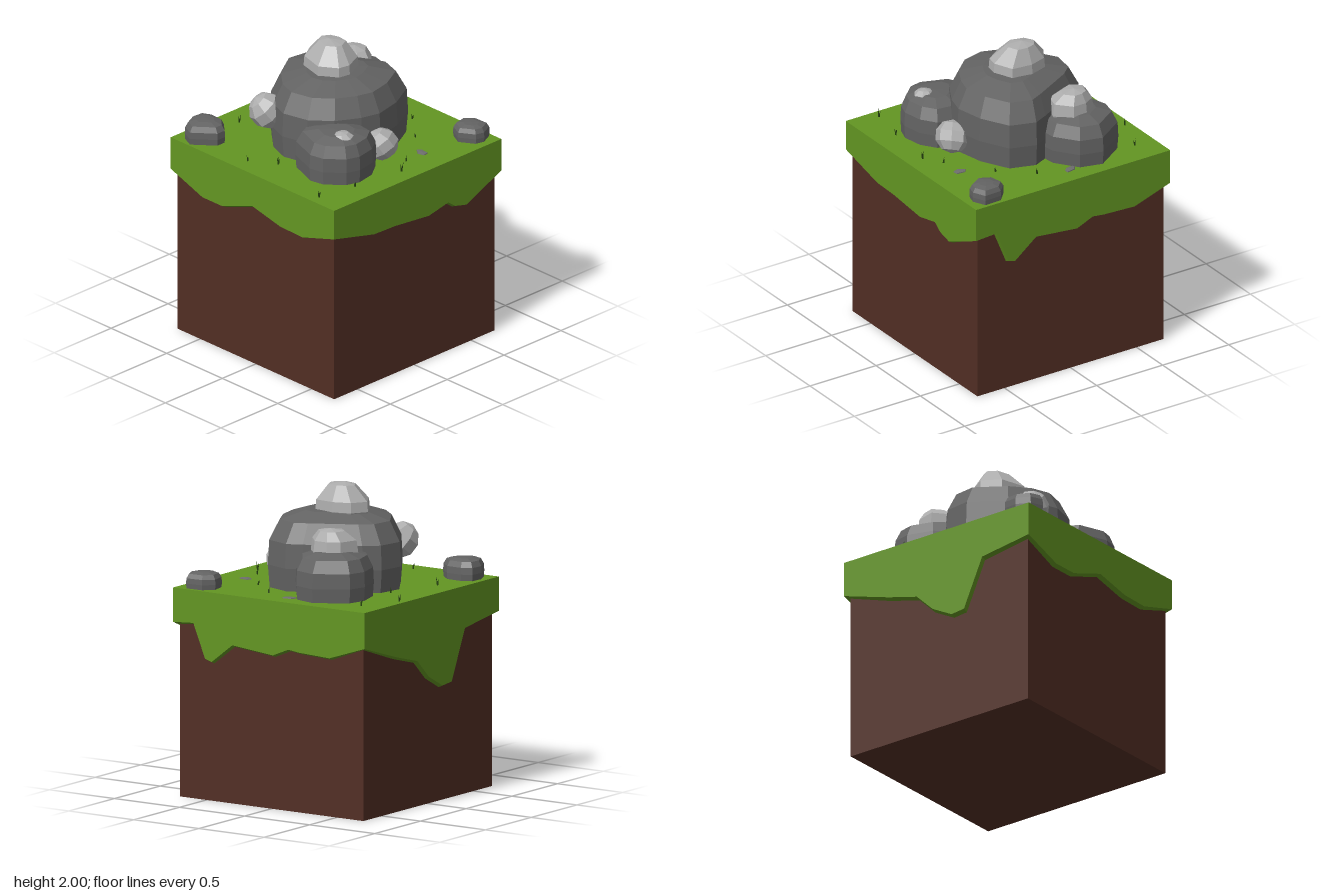
import * as THREE from 'three';

const mat = (name, color) => new THREE.MeshStandardMaterial({ name, color });
const GROUND = 1.34, OUT = 0.735, IN = 0.705;

// Separate triangles with their own normals give hard facets
function faceted(positions) {
  const g = new THREE.BufferGeometry();
  g.setAttribute('position', new THREE.Float32BufferAttribute(positions, 3));
  g.computeVertexNormals();
  return g;
}

// Stone lofted from a plan outline [x, z]; rings are [scale, y, shiftX, shiftZ]
function stoneGeometry(outline, rings) {
  const n = outline.length;
  const cx = outline.reduce((s, p) => s + p[0], 0) / n;
  const cz = outline.reduce((s, p) => s + p[1], 0) / n;
  const plan = outline.map(([x, z]) => [x - cx, z - cz])
    .sort((a, b) => Math.atan2(a[1], a[0]) - Math.atan2(b[1], b[0]));
  const at = ([s, y, dx = 0, dz = 0], i) => {
    const [x, z] = plan[i % n];
    return [cx + x * s + dx, y, cz + z * s + dz];
  };
  const pos = [];
  for (let r = 0; r < rings.length - 1; r++) {
    for (let i = 0; i < n; i++) {
      const a = at(rings[r], i), b = at(rings[r], i + 1);
      const c = at(rings[r + 1], i), d = at(rings[r + 1], i + 1);
      if (rings[r][0] > 0) pos.push(...a, ...c, ...b);
      if (rings[r + 1][0] > 0) pos.push(...b, ...c, ...d);
    }
  }
  return faceted(pos);
}

// Boulder standing on the ground: steep sides, rounded shoulder, flat crown
const boulderRings = (top, foot = 0.97) => {
  const h = top - GROUND;
  return [[foot, GROUND - 0.01], [1, GROUND + h * 0.3], [0.98, GROUND + h * 0.62],
    [0.83, GROUND + h * 0.88], [0.45, GROUND + h * 0.98], [0, top]];
};

// Ragged turf edge: [along, y] for front, right, back and left
const edges = [
  [[-OUT, 1.12], [-0.45, 1.02], [-0.27, 1.02], [0, 1.115], [0.25, 1.06], [0.45, 1.055], [OUT, 1.14]],
  [[-OUT, 1.14], [-0.38, 1.055], [-0.2, 1.05], [0.1, 1.02], [0.27, 1.055], [0.33, 1.01], [0.43, 0.985], [OUT, 1.12]],
  [[-OUT, 1.12], [-0.58, 1.13], [-0.49, 0.91], [-0.44, 0.895], [-0.28, 1.02], [0.03, 0.99], [0.15, 1.04],
    [0.23, 1.03], [0.465, 1.02], [OUT, 1.11]],
  [[-OUT, 1.11], [-0.38, 1.0], [-0.155, 0.94], [-0.03, 0.82], [0.12, 0.74], [0.22, 0.75], [0.365, 1.07], [OUT, 1.12]],
];

function turfEdge(profile) {
  const pos = [];
  const inner = ([u, y]) => [THREE.MathUtils.clamp(u, -IN, IN), y - 0.015, IN - 0.002];
  for (let i = 0; i < profile.length - 1; i++) {
    const p = profile[i], q = profile[i + 1];
    const a = [p[0], GROUND, OUT], b = [...p, OUT], c = [...q, OUT], d = [q[0], GROUND, OUT];
    pos.push(...a, ...b, ...c, ...a, ...c, ...d);
    pos.push(...b, ...inner(p), ...inner(q), ...b, ...inner(q), ...c);
  }
  return faceted(pos);
}

export function createModel() {
  const model = new THREE.Group();
  const grass = mat('grass green', 0x639622);
  const soil = mat('soil brown', 0x522e24);
  const darkRock = mat('dark rock', 0x636363);
  const paleRock = mat('pale rock', 0xadadad);
  const pebbleGrey = mat('pebble grey', 0x6e6e6e);
  const bladeGreen = mat('blade green', 0x2a4a12);

  const add = (name, geometry, material, parent = model) => {
    const m = new THREE.Mesh(geometry, material);
    m.name = name;
    parent.add(m);
    return m;
  };

  // Soil block
  add('soilBlock', new THREE.BoxGeometry(2 * IN, GROUND - 0.01, 2 * IN), soil).position.y = (GROUND - 0.01) / 2;

  // Turf cover with its hanging edges
  const turf = new THREE.Group();
  turf.name = 'turf';
  model.add(turf);
  add('turfTop', new THREE.PlaneGeometry(2 * OUT, 2 * OUT).rotateX(-Math.PI / 2), grass, turf).position.y = GROUND;
  edges.forEach((profile, k) => {
    add('turfEdge', turfEdge(profile), grass, turf).rotation.y = k * Math.PI / 2;
  });

  // Dark boulders
  const boulders = [
    ['mainBoulder', 1.83, [[0.08, -0.445], [0.25, -0.39], [0.35, -0.2], [0.39, -0.01], [0.355, 0.12], [0.27, 0.275],
      [0.14, 0.39], [-0.04, 0.433], [-0.19, 0.38], [-0.33, 0.26], [-0.475, 0.035], [-0.45, -0.14],
      [-0.36, -0.22], [-0.21, -0.3], [-0.02, -0.4]]],
    ['backBoulder', 1.64, [[-0.28, -0.66], [-0.13, -0.62], [-0.02, -0.47], [0, -0.3], [-0.12, -0.16],
      [-0.39, -0.16], [-0.46, -0.24], [-0.51, -0.41], [-0.48, -0.53]]],
    ['frontBoulder', 1.63, [[0.07, 0.365], [0.115, 0.47], [0.32, 0.545], [0.42, 0.525], [0.53, 0.425],
      [0.56, 0.335], [0.535, 0.2], [0.465, 0.1], [0.3, 0.08], [0.14, 0.2]]],
    ['frontCornerStone', 1.475, [[-0.69, 0.51], [-0.625, 0.477], [-0.515, 0.48], [-0.44, 0.545], [-0.44, 0.61],
      [-0.575, 0.725], [-0.655, 0.69], [-0.697, 0.6]]],
    ['backCornerStone', 1.445, [[0.47, -0.65], [0.53, -0.71], [0.65, -0.715], [0.69, -0.63], [0.675, -0.57],
      [0.575, -0.508], [0.49, -0.55]]],
  ];
  for (const [name, top, outline] of boulders) add(name, stoneGeometry(outline, boulderRings(top)), darkRock);

  // Pale stones resting on the boulders
  add('topStone', stoneGeometry(
    [[-0.26, -0.02], [-0.2, -0.12], [-0.08, -0.157], [0.06, -0.14], [0.115, -0.01], [0.1, 0.07], [-0.015, 0.147], [-0.19, 0.1]],
    [[0.8, 1.76], [1, 1.82], [0.97, 1.885], [0.5, 1.985, -0.01, -0.02], [0, 2, -0.03, -0.01]]), paleRock);
  add('backStone', stoneGeometry(
    [[-0.39, -0.31], [-0.35, -0.445], [-0.27, -0.49], [-0.17, -0.49], [-0.08, -0.39], [-0.11, -0.28], [-0.28, -0.215]],
    [[0.85, 1.54], [1, 1.62], [0.93, 1.7], [0.55, 1.76, 0, -0.02], [0, 1.775, 0, -0.02]]), paleRock);

  // Smaller pale stones: name, centre, radii, tilt
  const smallStones = [
    ['leftSideStone', [-0.24, 1.58, 0.375], [0.115, 0.12, 0.115], 0.5],
    ['rightSideStone', [0.415, 1.45, 0.01], [0.105, 0.105, 0.12], 0.4],
    ['frontTopStone', [0.41, 1.59, 0.335], [0.075, 0.055, 0.075], 0.15],
  ];
  for (const [name, centre, radii, tilt] of smallStones) {
    const g = new THREE.SphereGeometry(1, 8, 5).rotateX(tilt).rotateZ(tilt).scale(...radii).toNonIndexed();
    g.computeVertexNormals();
    add(name, g, paleRock).position.set(...centre);
  }

  // Flat pebbles
  const pebbles = [
    [[0.48, -0.24], [0.5, -0.265], [0.56, -0.26], [0.565, -0.225], [0.52, -0.21]],
    [[-0.11, -0.59], [-0.09, -0.62], [-0.03, -0.63], [-0.03, -0.6], [-0.05, -0.58], [-0.1, -0.575]],
  ];
  for (const outline of pebbles) {
    add('pebble', stoneGeometry(outline, [[1, GROUND], [0.95, GROUND + 0.006], [0, GROUND + 0.009]]), pebbleGrey);
  }

  // Grass sprouts: [x, z, height], three leaning blades each
  const sprouts = [[-0.585, -0.555, 0.05], [-0.69, -0.29, 0.05], [-0.49, -0.1, 0.04], [-0.585, 0.28, 0.06],
    [0.015, 0.52, 0.065], [-0.155, 0.625, 0.04], [0.53, 0.665, 0.06], [0.58, 0.4, 0.05], [0.625, 0.035, 0.065],
    [0.545, -0.085, 0.04], [0.34, -0.365, 0.035], [0.14, -0.535, 0.04]];
  sprouts.forEach(([x, z, h], i) => {
    const sprout = new THREE.Group();
    sprout.name = 'grassSprout';
    sprout.position.set(x, GROUND, z);
    sprout.rotation.y = i * 1.3;
    for (let k = 0; k < 3; k++) {
      const blade = new THREE.ConeGeometry(0.006, h * (1 - k * 0.15), 3).translate(0, h * (1 - k * 0.15) / 2, 0)
        .rotateZ(0.2).rotateY(k * Math.PI * 2 / 3);
      add('blade', blade, bladeGreen, sprout);
    }
    model.add(sprout);
  });

  return model;
}
